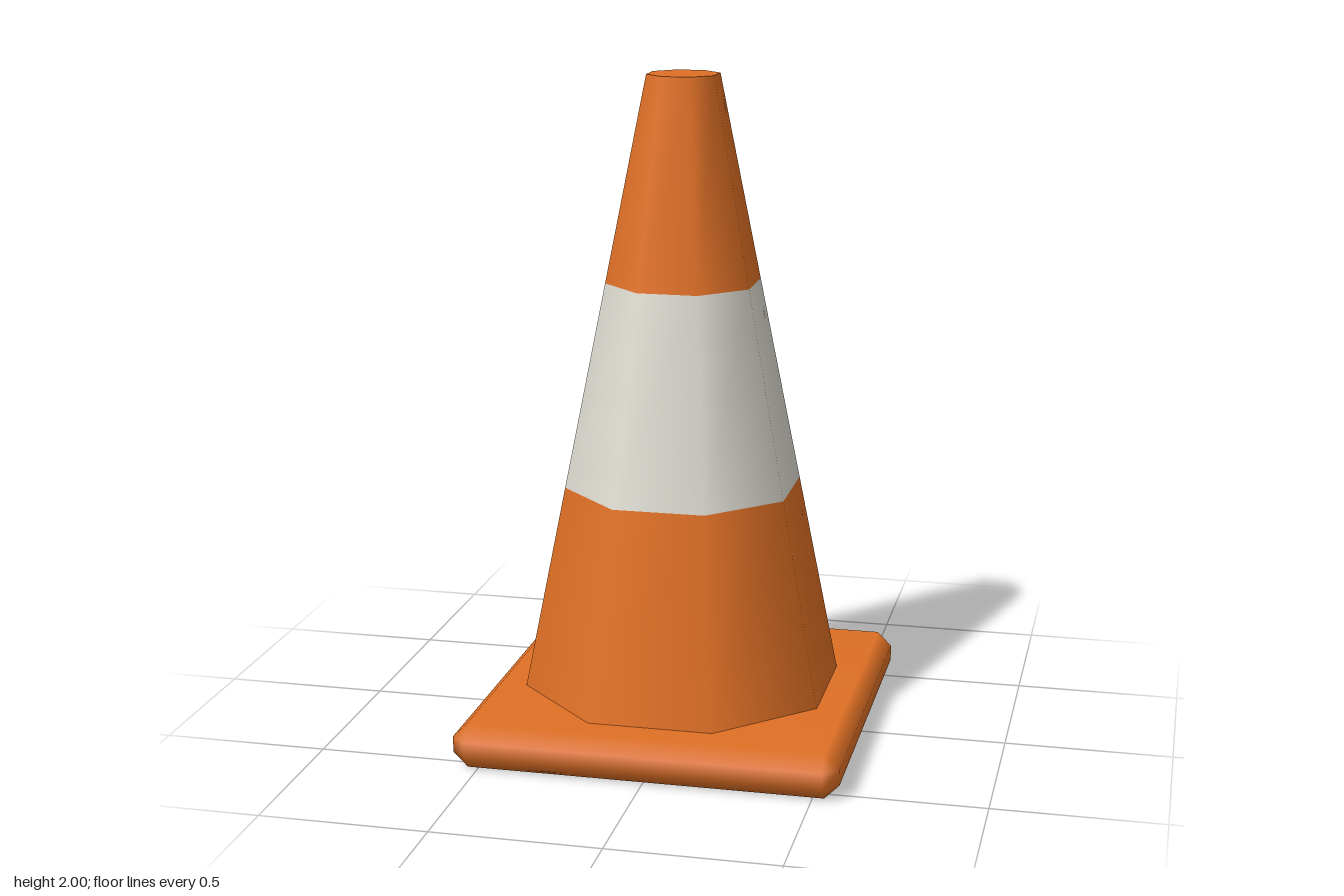
import * as THREE from 'three';
import { mergeVertices } from 'three/addons/utils/BufferGeometryUtils.js';
import { ConvexGeometry } from 'three/addons/geometries/ConvexGeometry.js';

const BASE_TOP = 0.136, TOP = 2, BASE_R = 0.452, TOP_R = 0.102;

// Box with one-step bevels on all edges and soft, area-weighted normals
function bevelledBox(w, h, d, b) {
  const points = [];
  for (const x of [-1, 1]) for (const y of [-1, 1]) for (const z of [-1, 1]) {
    for (let face = 0; face < 3; face++) {
      points.push(new THREE.Vector3(
        x * (w / 2 - (face === 0 ? 0 : b)),
        y * (h / 2 - (face === 1 ? 0 : b)),
        z * (d / 2 - (face === 2 ? 0 : b))));
    }
  }
  let geometry = new ConvexGeometry(points);
  geometry.deleteAttribute('normal');
  geometry = mergeVertices(geometry, 1e-4);
  geometry.computeVertexNormals();
  return geometry;
}

// Distance from the axis to the middle of a flat side at height y
const apothem = (y) => THREE.MathUtils.mapLinear(y, BASE_TOP, TOP, BASE_R, TOP_R);

export function createModel() {
  const group = new THREE.Group();
  const orange = new THREE.MeshStandardMaterial({ color: 0xe07025 });
  orange.name = 'orange plastic';
  const white = new THREE.MeshStandardMaterial({ color: 0xdedcd2 });
  white.name = 'off-white band';

  const add = (name, geometry, material, y) => {
    const mesh = new THREE.Mesh(geometry, material);
    mesh.name = name;
    mesh.position.y = y;
    group.add(mesh);
  };

  // Square foot
  add('basePlate', bevelledBox(1.154, BASE_TOP, 1.154, 0.044), orange, BASE_TOP / 2);

  // Eight-sided cone in three sections, flat sides facing the axes
  const toCorner = 1 / Math.cos(Math.PI / 8);
  const sections = [
    ['lowerCone', BASE_TOP, 0.76, orange],
    ['reflectiveBand', 0.76, 1.384, white],
    ['upperCone', 1.384, TOP, orange],
  ];
  for (const [name, y0, y1, material] of sections) {
    const geometry = new THREE.CylinderGeometry(
      apothem(y1) * toCorner, apothem(y0) * toCorner, y1 - y0, 8, 1, true, Math.PI / 8);
    add(name, geometry, material, (y0 + y1) / 2);
  }

  // Flat tip
  const tip = new THREE.CircleGeometry(TOP_R * toCorner, 8, Math.PI / 8);
  tip.rotateX(-Math.PI / 2);
  add('coneTip', tip, orange, TOP);

  return group;
}
